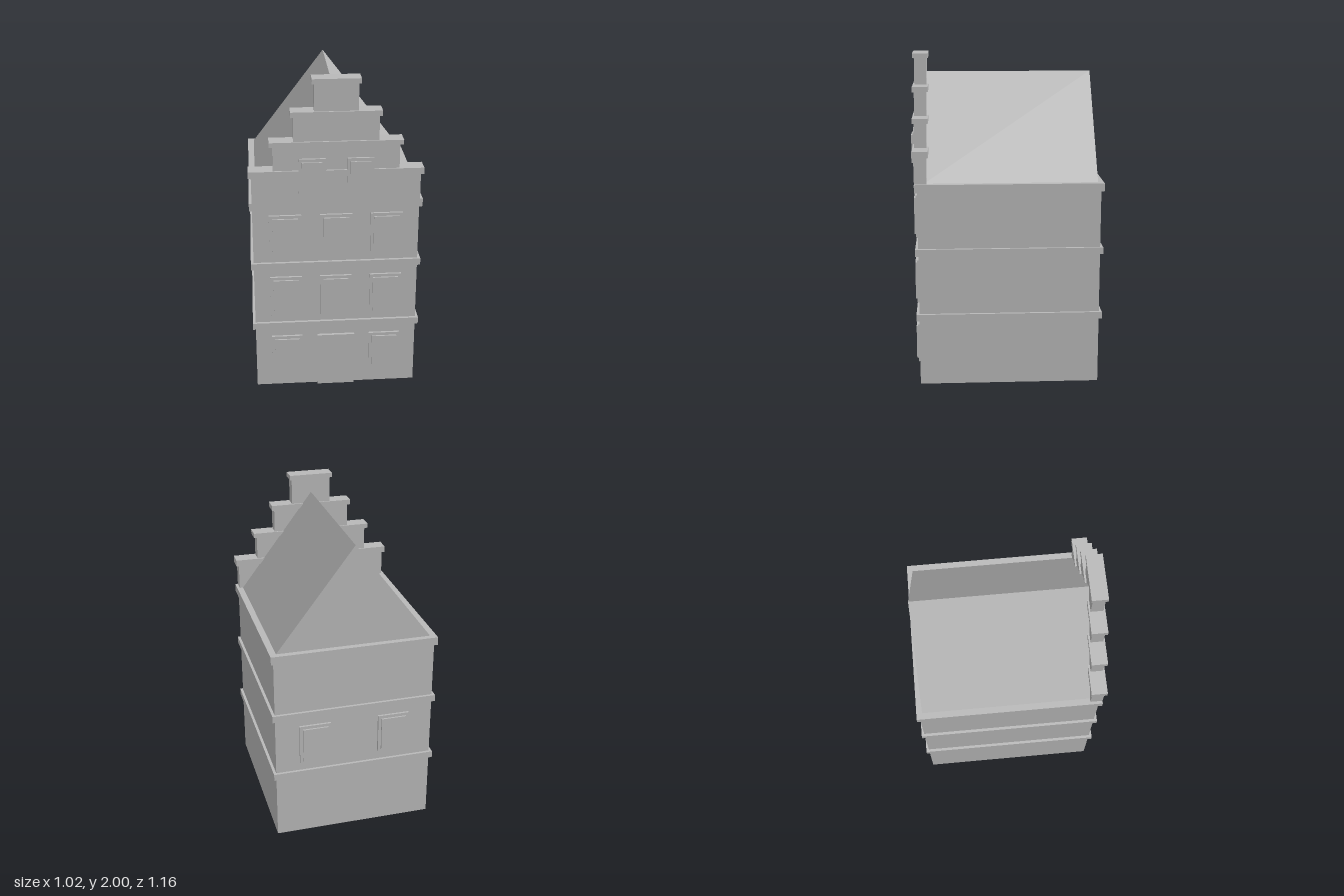
import * as THREE from 'three';

export function createModel() {
  const house = new THREE.Group();
  house.name = 'gabledTownHouse';
  const stone = new THREE.MeshStandardMaterial({ color: 0xb8b8b8 });
  stone.name = 'grey stone';

  // Box given by its half width about x, its y range and its z range
  function box(name, x, halfW, y0, y1, z0, z1, parent = house) {
    const mesh = new THREE.Mesh(new THREE.BoxGeometry(halfW * 2, y1 - y0, z1 - z0), stone);
    mesh.position.set(x, (y0 + y1) / 2, (z0 + z1) / 2);
    mesh.name = name;
    parent.add(mesh);
    return mesh;
  }

  // Raised frame with a raised pane on it; dir is +1 for front, -1 for back
  function windowUnit(name, x, halfW, y0, y1, wallZ, frameOut, paneOut, dir = 1) {
    const unit = new THREE.Group();
    unit.name = name;
    const inset = 0.019;
    const slab = (part, i, from, to) => box(part, x, halfW - i, y0 + i, y1 - i,
      Math.min(wallZ + dir * from, wallZ + dir * to), Math.max(wallZ + dir * from, wallZ + dir * to), unit);
    slab('windowFrame', 0, -0.005, frameOut);
    slab('windowPane', inset, 0, paneOut);
    house.add(unit);
  }

  // Main walls and the string courses around them
  box('walls', 0, 0.495, 0, 1.23, -0.558, 0.54);
  [[0.411, 0.453], [0.82, 0.862], [1.207, 1.257]].forEach(([y0, y1]) =>
    box('stringCourse', 0, 0.512, y0, y1, -0.575, 0.558));

  // Pitched roof, ridge running front to back
  const profile = new THREE.Shape([
    new THREE.Vector2(-0.473, 1.257), new THREE.Vector2(0.473, 1.257), new THREE.Vector2(0, 1.88),
  ]);
  const roofGeometry = new THREE.ExtrudeGeometry(profile, { depth: 1.04, bevelEnabled: false });
  roofGeometry.translate(0, 0, -0.54);
  const roof = new THREE.Mesh(roofGeometry, stone);
  roof.name = 'roof';
  house.add(roof);

  // Stepped gable: [wall half width, cap half width, bottom, cap bottom, cap top]
  [
    [0.495, 0.512, 1.257, 1.416, 1.456],
    [0.368, 0.388, 1.456, 1.602, 1.631],
    [0.247, 0.263, 1.631, 1.777, 1.809],
    [0.127, 0.14, 1.809, 1.971, 2.0],
  ].forEach(([wall, cap, y0, y1, y2]) => {
    box('gableStep', 0, wall, y0, y1, 0.484, 0.558);
    box('gableCap', 0, cap, y1, y2, 0.473, 0.569);
  });

  // Front windows; the door takes the middle of the ground floor
  [[0.109, 0.353], [0.496, 0.764], [0.907, 1.17]].forEach(([y0, y1], floor) => {
    for (const x of [-0.302, 0, 0.302]) {
      if (floor === 0 && x === 0) continue;
      windowUnit('frontWindow', x, 0.096, y0, y1, 0.54, 0.014, 0.024);
    }
  });
  box('frontDoor', 0, 0.115, 0, 0.353, 0.53, 0.559);

  // Gable windows and back windows, in mirrored pairs
  for (const side of [-1, 1]) {
    windowUnit('gableWindow', side * 0.141, 0.079, 1.316, 1.528, 0.558, 0.014, 0.023);
    windowUnit('backWindow', side * 0.248, 0.098, 0.507, 0.764, -0.558, 0.014, 0.025, -1);
  }
  return house;
}
